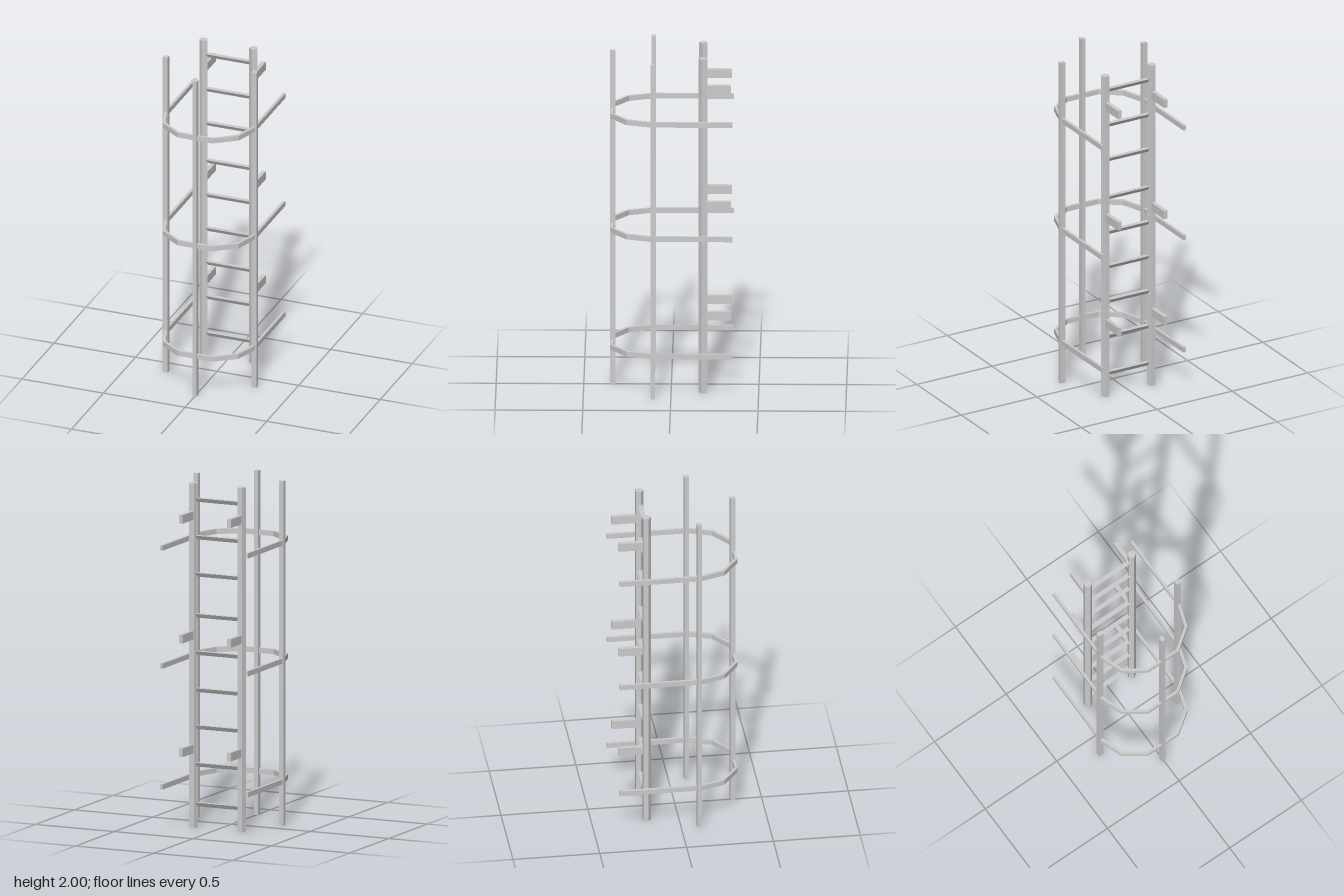
import * as THREE from 'three';

const material = new THREE.MeshStandardMaterial({ color: 0xcccccc, flatShading: true });

export function createModel() {
  const model = new THREE.Group();
  model.name = 'cagedLadder';

  function add(name, geometry, x, y, z) {
    const mesh = new THREE.Mesh(geometry, material);
    mesh.name = name;
    mesh.position.set(x, y, z);
    model.add(mesh);
    return mesh;
  }

  // Five-sided ladder rails with wall brackets behind them
  const railX = 0.153, railZ = -0.183;
  const railGeometry = new THREE.CylinderGeometry(0.026, 0.026, 2, 5);
  const bracketGeometry = new THREE.BoxGeometry(0.024, 0.05, 0.142);
  for (const [side, s] of [['left', 1], ['right', -1]]) {
    add(side + 'Rail', railGeometry, s * railX, 1, railZ);
    for (const y of [0.46, 1.12, 1.815]) add(side + 'Bracket', bracketGeometry, s * railX, y, -0.272);
  }

  // Triangular rungs, flat tread on top and edge pointing down
  const r = 0.0156;
  const rungShape = new THREE.Shape([
    new THREE.Vector2(-0.866 * r, 0.75 * r),
    new THREE.Vector2(0, -0.75 * r),
    new THREE.Vector2(0.866 * r, 0.75 * r),
  ]);
  const rungLength = 0.29;
  const rungGeometry = new THREE.ExtrudeGeometry(rungShape, { depth: rungLength, bevelEnabled: false });
  rungGeometry.translate(0, 0, -rungLength / 2).rotateY(Math.PI / 2);
  for (const y of [0.135, 0.366, 0.584, 0.799, 1.014, 1.231, 1.469, 1.685, 1.903]) {
    add('rung', rungGeometry, 0, y, -0.18);
  }

  // Cage hoops: a mitred flat strip, outer edge one way and inner edge back
  const outer = [[0.28, -0.353], [0.28, 0.115], [0.233, 0.256], [0.108, 0.346]];
  const inner = [[0.264, -0.353], [0.264, 0.113], [0.218, 0.246], [0.103, 0.331]];
  const mirrored = (half) => [...half, ...half.map(([x, z]) => [-x, z]).reverse()];
  const outline = [...mirrored(outer), ...mirrored(inner).reverse()];
  const hoopShape = new THREE.Shape(outline.map(([x, z]) => new THREE.Vector2(x, z)));
  const hoopHeight = 0.03;
  const hoopGeometry = new THREE.ExtrudeGeometry(hoopShape, { depth: hoopHeight, bevelEnabled: false });
  hoopGeometry.rotateX(Math.PI / 2).translate(0, hoopHeight / 2, 0);
  for (const y of [0.253, 0.955, 1.64]) add('cageHoop', hoopGeometry, 0, y, 0);

  // Upright cage bars
  const sideBar = new THREE.BoxGeometry(0.031, 2, 0.026);
  add('leftCageBar', sideBar, 0.272, 1, 0.104);
  add('rightCageBar', sideBar, -0.272, 1, 0.104);
  add('frontCageBar', new THREE.BoxGeometry(0.025, 2, 0.031), 0, 1, 0.334);

  return model;
}
